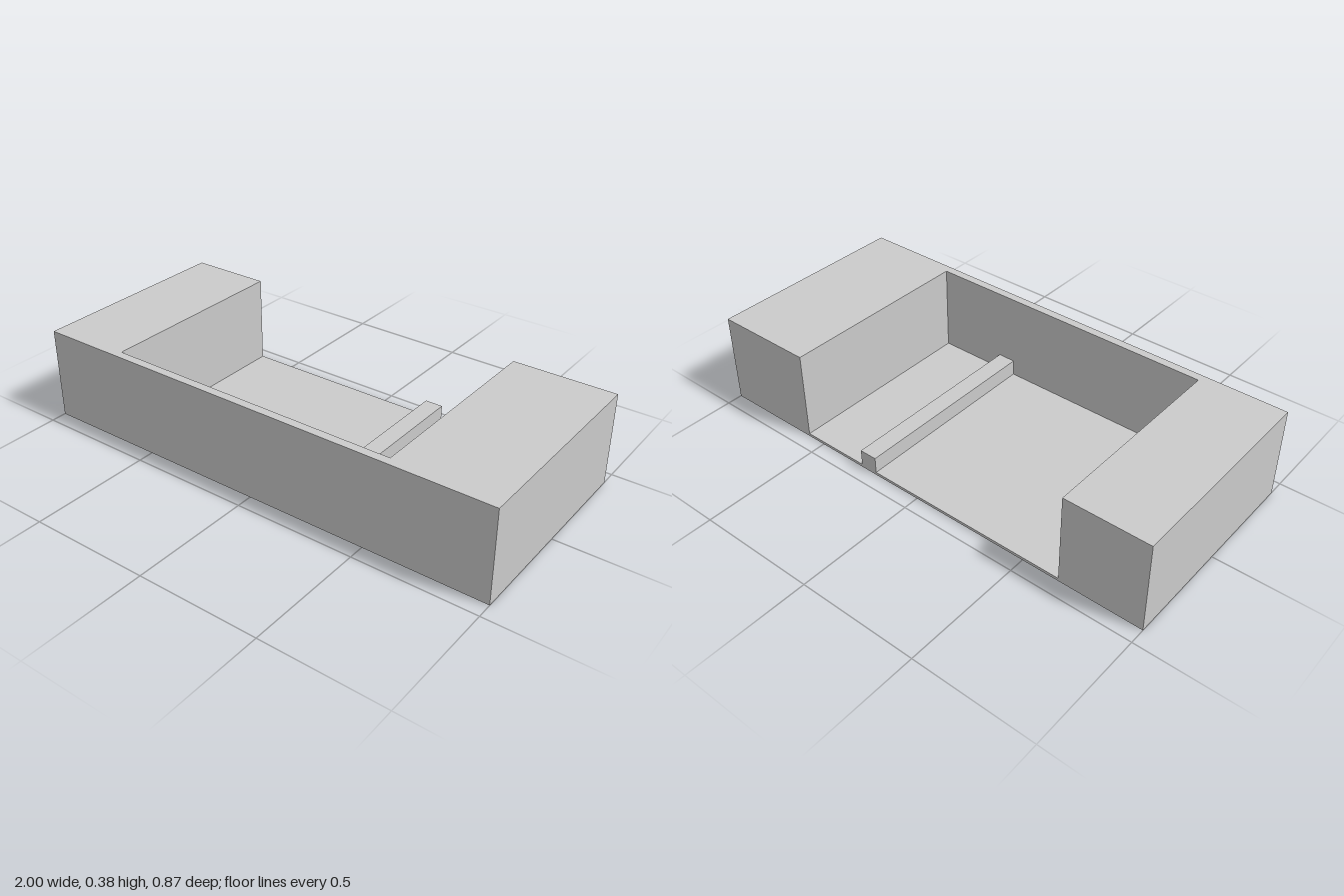
import * as THREE from 'three';

const W = 1, D = 0.435, H = 0.38;                  // half width, half depth, height
const FLOOR = 0.012;                               // floor thickness
const BAY = { right: -0.655, left: 0.58, front: 0.4 };
const RAIL = { x0: 0.21, x1: 0.285, top: 0.08 };

export function createModel() {
  const group = new THREE.Group();
  const material = new THREE.MeshStandardMaterial({ color: 0xcccccc });

  const add = (name, geometry) => {
    const mesh = new THREE.Mesh(geometry, material);
    mesh.name = name;
    group.add(mesh);
  };

  const box = (name, x0, x1, y0, y1, z0, z1) => add(name,
    new THREE.BoxGeometry(x1 - x0, y1 - y0, z1 - z0)
      .translate((x0 + x1) / 2, (y0 + y1) / 2, (z0 + z1) / 2));

  // Thin floor under the whole body
  box('floor', -W, W, 0, FLOOR, -D, D);

  // U-shaped body: two end blocks joined by a thin front wall, open at the back.
  // Drawn in plan with shape y = -z, then turned upright.
  const plan = new THREE.Shape([
    [-W, -D], [W, -D], [W, D], [BAY.left, D],
    [BAY.left, -BAY.front], [BAY.right, -BAY.front], [BAY.right, D], [-W, D],
  ].map(([x, y]) => new THREE.Vector2(x, y)));
  add('body', new THREE.ExtrudeGeometry(plan, { depth: H - FLOOR, bevelEnabled: false })
    .rotateX(-Math.PI / 2)
    .translate(0, FLOOR, 0));

  // Low divider running front to back across the bay
  box('dividerRail', RAIL.x0, RAIL.x1, FLOOR, RAIL.top, -D, BAY.front);

  return group;
}
